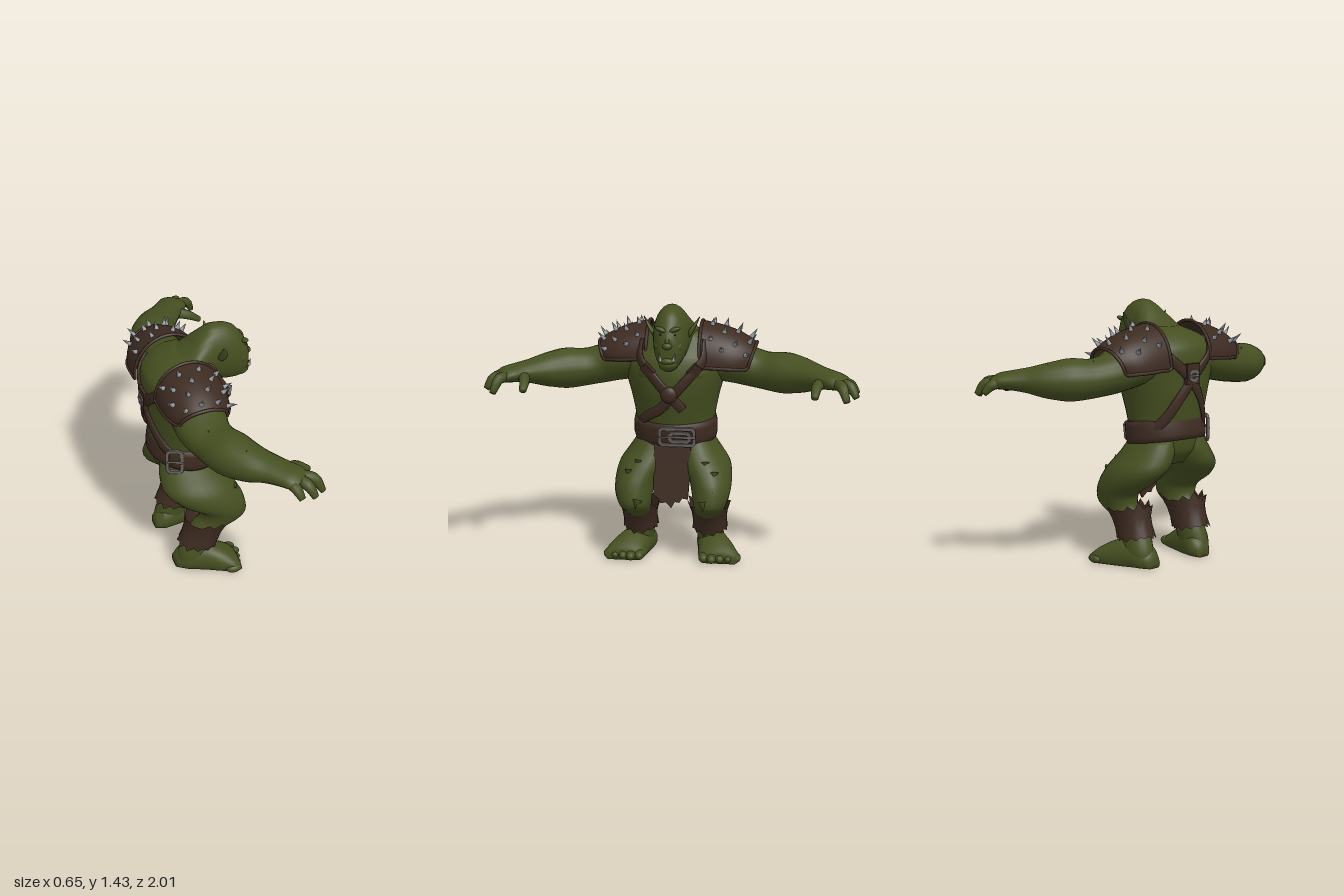
import * as THREE from 'three';

const V = (x, y, z) => new THREE.Vector3(x, y, z);
const X = V(1, 0, 0), Y = V(0, 1, 0), DOWN = V(0, -1, 0);
const paint = (name, color, side = THREE.FrontSide) =>
  Object.assign(new THREE.MeshStandardMaterial({ color, side }), { name });

// torso sections, upwards: x, y, z, depth radius, width radius
const TORSO = [
  [-.09, .56, 0, .1, .12], [-.09, .64, 0, .165, .19], [-.09, .75, 0, .178, .213], [-.085, .85, 0, .195, .228],
  [-.08, .95, 0, .214, .25], [-.08, 1.05, 0, .218, .28], [-.09, 1.13, 0, .212, .3],
  [-.1, 1.2, 0, .19, .27], [-.08, 1.26, 0, .15, .19], [-.05, 1.3, 0, .09, .1]];

// point on the torso skin at a height and an angle (0 = chest, 180 = back)
function skin(deg, y, off = 0) {
  let i = 0;
  while (i < TORSO.length - 2 && TORSO[i + 1][1] < y) i++;
  const a = TORSO[i], b = TORSO[i + 1], t = (y - a[1]) / (b[1] - a[1]);
  const [cx, , , rx, rz] = a.map((n, k) => n + (b[k] - n) * t);
  const r = deg * Math.PI / 180;
  return V(cx + (rx + off) * Math.cos(r), y, (rz + off) * Math.sin(r));
}

// smooth body through oval sections [x, y, z, radius along u, other radius], flattened at a floor height
function loft(rows, u, axis = null, n = 20, floor = -1) {
  const path = new THREE.CatmullRomCurve3(rows.map(r => V(r[0], r[1], r[2])));
  const radii = new THREE.CatmullRomCurve3(rows.map(r => V(r[3], r[4], 0)));
  const m = (rows.length - 1) * 4, pos = [], idx = [];
  for (let i = 0; i <= m; i++) {
    const c = path.getPoint(i / m), r = radii.getPoint(i / m);
    const t = axis || path.getTangent(i / m);
    const a = (typeof u === 'function' ? u(c) : u).clone();
    a.addScaledVector(t, -a.dot(t)).normalize();
    const b = t.clone().cross(a).normalize();
    for (let j = 0; j < n; j++) {
      const k = j / n * Math.PI * 2;
      const p = c.clone().addScaledVector(a, r.x * Math.cos(k)).addScaledVector(b, r.y * Math.sin(k));
      pos.push(p.x, Math.max(p.y, floor), p.z);
      if (i < m) {
        const p0 = i * n + j, q = i * n + (j + 1) % n;
        idx.push(p0, q, q + n, p0, q + n, p0 + n);
      }
    }
  }
  const end = pos.length / 3;
  pos.push(...path.getPoint(0), ...path.getPoint(1));
  for (let j = 0; j < n; j++) {
    const k = (j + 1) % n;
    idx.push(end, k, j, end + 1, m * n + j, m * n + k);
  }
  const g = new THREE.BufferGeometry();
  g.setAttribute('position', new THREE.Float32BufferAttribute(pos, 3));
  g.setIndex(idx);
  g.computeVertexNormals();
  return g;
}

export function createModel() {
  const root = new THREE.Group();
  const green = paint('green skin', 0x454f20), leather = paint('brown leather', 0x3d2b21, THREE.DoubleSide);
  const steel = paint('spike steel', 0x95999e), iron = paint('buckle iron', 0x67625e);
  const ivory = paint('tusk ivory', 0xb5ad98), dark = paint('dark eye', 0x1d1a12);
  const add = (name, geo, mat, p = [0, 0, 0]) => {
    const mesh = new THREE.Mesh(geo, mat);
    mesh.name = name;
    mesh.position.set(...p);
    root.add(mesh);
    return mesh;
  };
  const ball = (name, mat, p, r) => {
    const mesh = add(name, new THREE.SphereGeometry(1, 20, 14), mat, p);
    mesh.scale.set(...r);
    return mesh;
  };
  const cone = (name, mat, p, dir, r, h, sides = 6) => {
    const g = new THREE.ConeGeometry(r, h, sides).translate(0, h / 2, 0);
    add(name, g, mat, [...p]).quaternion.setFromUnitVectors(Y, dir.clone().normalize());
  };

  // torso, neck and head
  add('torso', loft(TORSO, X, Y, 32), green);
  add('neckAndHead', loft([[-.14, 1.2, 0, .08, .17], [-.06, 1.225, 0, .107, .16], [0, 1.255, 0, .132, .125],
    [.07, 1.27, 0, .163, .1], [.14, 1.262, 0, .168, .094], [.2, 1.245, 0, .157, .083],
    [.235, 1.225, 0, .133, .068], [.262, 1.21, 0, .108, .052], [.278, 1.205, 0, .07, .034]], Y, X, 28), green);
  ball('jaw', green, [.235, 1.135, 0], [.055, .038, .05]);
  ball('lowerLip', green, [.27, 1.155, 0], [.026, .018, .04]);
  ball('nose', green, [.28, 1.235, 0], [.019, .018, .026]);
  ball('noseBridge', green, [.262, 1.275, 0], [.018, .045, .014]).rotation.z = .4;

  // belt and hanging cloth
  const belt = add('belt', new THREE.LatheGeometry([[.85, -.062], [1, -.06], [1.03, -.03], [1.03, .03], [1, .06], [.85, .062]]
    .map(p => new THREE.Vector2(...p)), 40), leather, [-.088, .74, 0]);
  belt.scale.set(.192, 1, .226);
  belt.rotation.z = -.14;

  const cloth = new THREE.Shape([[-.1, .02], [.1, .02], [.105, -.15], [.092, -.34], [.06, -.335], [.045, -.36],
    [.02, -.355], [0, -.39], [-.03, -.36], [-.06, -.365], [-.07, -.34], [-.098, -.32], [-.1, -.15]]
    .map(p => new THREE.Vector2(...p)));
  const loin = add('loincloth', new THREE.ExtrudeGeometry(cloth, { depth: .012, bevelEnabled: false })
    .rotateY(Math.PI / 2), leather, [.065, .7, 0]);
  loin.rotation.z = .12;

  // open buckle frame with a prong
  const buckle = (name, p, w, h, yaw, tilt) => {
    const g = new THREE.Group();
    const rounded = (C, a, b, c) => new C([[-a + c, -b], [a - c, -b], [a, -b + c], [a, b - c],
      [a - c, b], [-a + c, b], [-a, b - c], [-a, -b + c]].map(q => new THREE.Vector2(...q)));
    const frame = rounded(THREE.Shape, w / 2, h / 2, .015);
    frame.holes.push(rounded(THREE.Path, w / 2 - .012, h / 2 - .012, .009));
    const opts = { depth: .01, bevelSize: .003, bevelThickness: .003, bevelSegments: 2 };
    g.add(new THREE.Mesh(new THREE.ExtrudeGeometry(frame, opts), iron));
    const prong = new THREE.Mesh(new THREE.CylinderGeometry(.005, .007, w, 8).rotateZ(Math.PI / 2), iron);
    prong.position.z = .012;
    g.add(prong);
    g.children.forEach((c, i) => { c.name = i ? 'prong' : 'frame'; });
    g.name = name;
    g.position.set(...p);
    g.rotation.set(0, yaw, tilt, 'ZYX');
    root.add(g);
  };
  buckle('frontBuckle', [.102, .712, -.03], .2, .105, Math.PI / 2, -.14);
  buckle('frontBuckleKeeper', [.102, .71, -.045], .12, .06, Math.PI / 2, -.14);
  buckle('sideBuckle', [-.2, .742, .186], .09, .145, -.42, 0);

  // crossed straps: one ends loose below the boss, the other tucks under the belt
  const route = [[48, 1.23], [35, 1.14], [21, 1.05], [5, .96], [-15, .865], [-38, .815], [-65, .75],
    [-122, .75], [-146, .83], [-167, .95], [-187, 1.06], [-207, 1.15], [-225, 1.22]];
  for (const s of [1, -1]) {
    for (const part of [route.slice(0, s > 0 ? 5 : 7), route.slice(7)]) {
      const rows = part.map(([a, y]) => [...skin(a * s, y, .006), .011, .028]);
      add('chestStrap', loft(rows, p => V(p.x + .085, 0, p.z), null, 10), leather);
    }
    const clasp = add('strapClasp', new THREE.BoxGeometry(.022, .07, .055), leather, [...skin(25 * s, 1.08, .012)]);
    clasp.rotation.set(s * .75, -s * .4, 0);
  }
  ball('chestBoss', leather, [...skin(2, .95, .01)], [.024, .045, .045]);
  add('backPlate', new THREE.BoxGeometry(.025, .11, .09), leather, [-.306, 1.06, 0]);
  buckle('backBuckle', [-.312, 1.05, 0], .06, .06, -Math.PI / 2, 0);

  for (const s of [1, -1]) {
    const mz = rows => rows.map(([x, y, z, a, b]) => [x, y, z * s, a, b]);
    const side = s > 0 ? 'left' : 'right';

    // face details
    add(side + 'Ear', loft(mz([[.1, 1.262, .085, .018, .012], [.1, 1.29, .104, .025, .013],
      [.097, 1.328, .127, .019, .009], [.088, 1.368, .15, .002, .002]]), X), green);
    ball(side + 'Brow', green, [.249, 1.318, .034 * s], [.02, .013, .036]).rotation.x = -s * .35;
    ball(side + 'Eye', dark, [.254, 1.292, .034 * s], [.008, .005, .01]);
    ball(side + 'Cheek', green, [.224, 1.225, .05 * s], [.03, .03, .024]);
    cone(side + 'Tusk', ivory, [.28, 1.157, .034 * s], V(.12, 1, .15 * s), .009, .05, 8);
    ball(side + 'Pectoral', green, [.04, 1.06, .1 * s], [.08, .075, .1]);

    // arm and hand
    add(side + 'Arm', loft(mz([[-.1, 1.13, .16, .12, .16], [-.11, 1.105, .3, .12, .15], [-.115, 1.075, .4, .108, .137],
      [-.09, 1.055, .5, .103, .122], [-.05, 1.052, .6, .112, .125], [.01, 1.05, .7, .094, .11],
      [.08, 1.052, .78, .066, .09], [.13, 1.052, .84, .052, .084], [.17, 1.048, .885, .044, .084],
      [.2, 1.036, .92, .03, .07]]), Y), green);
    const fingers = [
      [[.13, 1.045, .89], [.15, 1.035, .95], [.17, .99, .99]], [[.18, 1.045, .9], [.215, 1.035, .95], [.242, .98, .985]],
      [[.2, 1.045, .88], [.265, 1.035, .91], [.305, .968, .935]], [[.12, 1.04, .82], [.22, 1.03, .78], [.3, .985, .77]]];
    for (const f of fingers)
      add(side + 'Finger', loft(mz(f.map((p, i) => [...p, [.03, .028, .016][i], [.034, .03, .019][i]])), Y, null, 10), green);
    for (let i = 0; i < 5; i++)
      cone(side + 'ArmTuft', green, [-.12 + i * .03, 1.125 - i * .003, (.48 + i * .05) * s], V(-.3, .5, .8 * s), .03, .055, 5);

    // leg, flat-soled foot and toes
    add(side + 'Leg', loft(mz([[-.1, .7, .1, .15, .1], [-.09, .62, .13, .177, .125], [-.06, .54, .172, .199, .137],
      [0, .46, .205, .182, .119], [.066, .385, .213, .135, .103], [.067, .325, .207, .132, .09], [-.01, .26, .196, .105, .08],
      [-.065, .18, .192, .092, .075], [-.09, .1, .2, .1, .075], [-.1, .03, .2, .1, .07]]), X, DOWN, 24), green);
    add(side + 'Foot', loft(mz([[-.208, .03, .18, .04, .04], [-.15, .05, .19, .08, .076], [-.06, .055, .215, .1, .087],
      [.03, .045, .245, .086, .105], [.09, .035, .262, .062, .113], [.13, .026, .267, .038, .103]]), Y, X, 24, .006), green);
    for (let i = 0; i < 5; i++)
      ball(side + 'Toe', green, [.125 - Math.abs(i - 1) * .013, .034 - i * .001, (.18 + i * .045) * s],
        [.045, .028 - i * .001, .028 - i * .001]);
    for (let i = 0; i < 5; i++)
      cone(side + 'KneeTuft', green, [.097 + i * .022, .57 - i * .05, (.18 + (i % 2) * .05) * s], V(.42, -.9, .1 * s), .03, .05, 5);

    // ragged shin cuff, sheared along the shin
    const cuff = new THREE.CylinderGeometry(.12, .105, .15, 24, 3, true), cp = cuff.attributes.position;
    for (let k = 0; k < cp.count; k++) {
      const row = Math.floor(k / 25), j = k % 25 % 24, wave = Math.sin(j * 2.3);
      let y = cp.getY(k), f = 1;
      if (row === 0) { y += j % 2 ? .018 + .015 * wave : -.006; f = j % 2 ? 1.17 : 1.04; }
      if (row === 3) { y += j % 2 ? -.012 + .006 * wave : .002; f = j % 2 ? 1.1 : 1.02; }
      const x = cp.getX(k) * f;
      cp.setXYZ(k, x + y * .4, y - x * .15, cp.getZ(k) * f * .87);
    }
    cuff.computeVertexNormals();
    add(side + 'ShinCuff', cuff, leather, [-.045, .237, .197 * s]);

    // shoulder pad: arched shell, narrower outwards, with a thin rolled rim and spikes
    const base = s > 0 ? 1.145 : 1.11, reach = s > 0 ? .28 : .3, half = s > 0 ? .178 : .195;
    const pad = (a, v) => {
      const k = a * 1.65, h = 1.323 - base - .055 * v - .06 * v * v * v;
      return V(-.11 + half * (1 - .28 * v ** 4) * Math.sin(k), base + h * Math.cos(k) - .02 * v * (1 - Math.cos(k)),
        s * (.145 + reach * v * (.86 + .14 * Math.cos(k))));
    };
    const shell = new THREE.PlaneGeometry(2, 1, 24, 10), sp = shell.attributes.position;
    for (let k = 0; k < sp.count; k++) sp.setXYZ(k, ...pad(sp.getX(k) * s, .5 - sp.getY(k)));
    shell.computeVertexNormals();
    add(side + 'ShoulderPad', shell, leather);
    const edge = [];
    for (let i = 0; i < 12; i++) edge.push(pad(-1 + i / 6, 0));
    for (let i = 0; i < 5; i++) edge.push(pad(1, i / 5));
    for (let i = 0; i < 12; i++) edge.push(pad(1 - i / 6, 1));
    for (let i = 0; i < 5; i++) edge.push(pad(-1, 1 - i / 5));
    add(side + 'PadRim', new THREE.TubeGeometry(new THREE.CatmullRomCurve3(edge, true), 90, .009, 8, true), leather);
    for (let r = 0; r < 4; r++) for (let i = 0; i < 4; i++) {
      const a = -.6 + i * .37 + (r % 2) * .16, v = .2 + r * .23, p = pad(a, v);
      const n = pad(a, v + .02).sub(p).cross(pad(a + .02, v).sub(p)).multiplyScalar(s);
      if (n.y < 0) n.negate();
      cone(side + 'PadSpike', steel, p, n, .014, .037 + .025 * v);
    }
  }
  return root;
}
